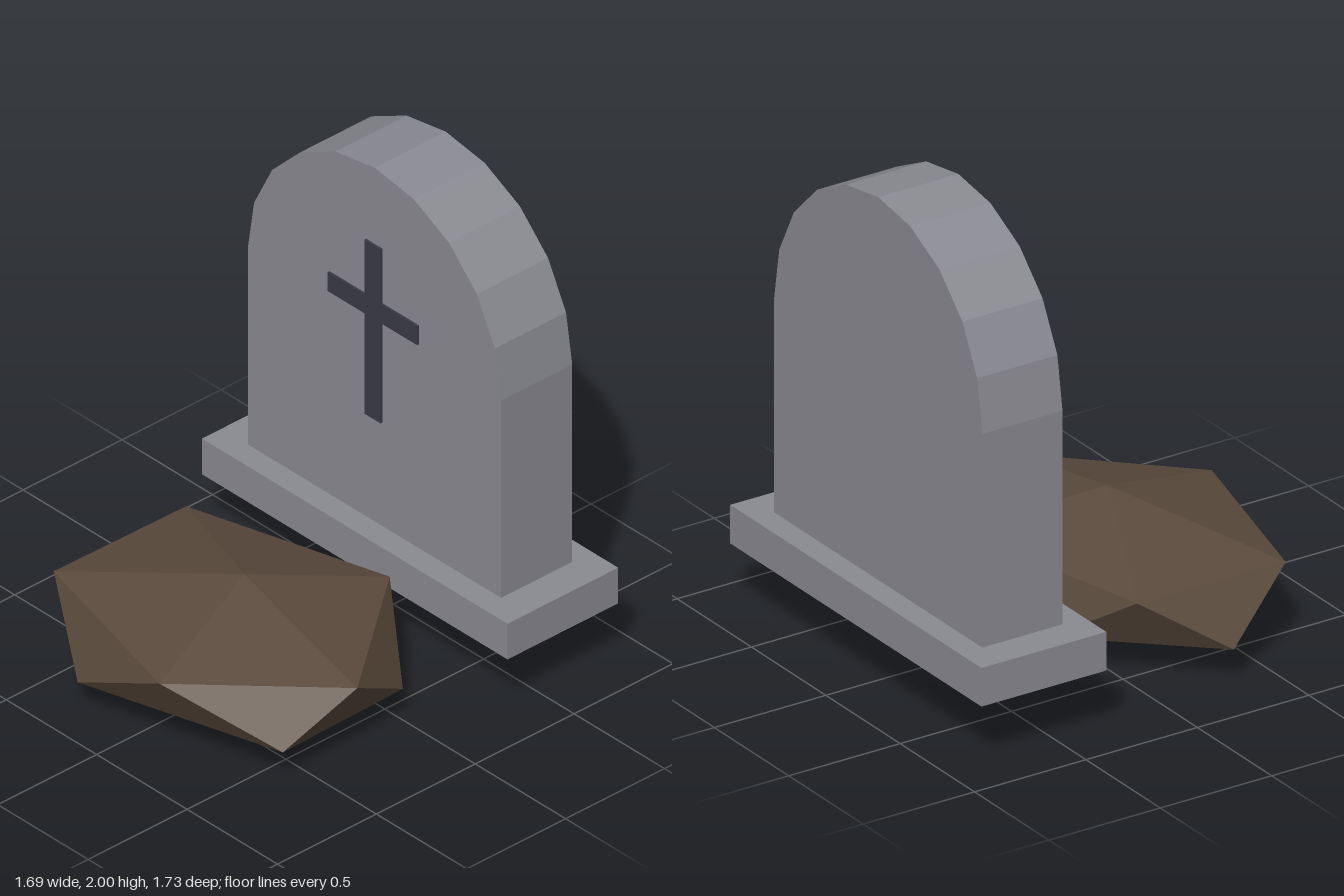
import * as THREE from 'three';

const mat = (name, color) => {
  const m = new THREE.MeshStandardMaterial({ color });
  m.name = name;
  return m;
};

function add(group, name, geometry, material, x = 0, y = 0, z = 0) {
  const mesh = new THREE.Mesh(geometry, material);
  mesh.name = name;
  mesh.position.set(x, y, z);
  group.add(mesh);
}

// Flat-shaded lump: top point, two staggered rings, bottom point
function moundGeometry(top, upper, lower, bottom) {
  const pos = [];
  const tri = (a, b, c) => pos.push(...a, ...b, ...c);
  const n = upper.length;
  for (let i = 0; i < n; i++) {
    const j = (i + 1) % n;
    tri(top, upper[j], upper[i]);
    tri(upper[i], upper[j], lower[i]);
    tri(lower[i], upper[j], lower[j]);
    tri(bottom, lower[i], lower[j]);
  }
  const g = new THREE.BufferGeometry();
  g.setAttribute('position', new THREE.Float32BufferAttribute(pos, 3));
  g.computeVertexNormals();
  return g;
}

export function createModel() {
  const model = new THREE.Group();
  model.name = 'gravestone';
  const stone = mat('grey stone', 0x8a8a92);
  const dark = mat('dark inlay', 0x3a3a46);
  const earth = mat('brown earth', 0x5a4a3c);

  // Plinth
  add(model, 'plinth', new THREE.BoxGeometry(1.69, 0.16, 0.56), stone, 0, 0.335, -0.585);

  // Round-topped slab, ten facets across the arch
  const R = 0.7, springY = 1.3;
  const outline = [new THREE.Vector2(-R, 0.41), new THREE.Vector2(R, 0.41)];
  for (let i = 0; i <= 10; i++) {
    const a = (i / 10) * Math.PI;
    outline.push(new THREE.Vector2(R * Math.cos(a), springY + R * Math.sin(a)));
  }
  const slab = new THREE.ExtrudeGeometry(new THREE.Shape(outline), { depth: 0.36, bevelEnabled: false });
  add(model, 'slab', slab, stone, 0, 0, -0.765);

  // Cross on the front face
  const w = 0.045, arm = 0.247, y0 = 0.88, y1 = 1.33, y2 = 1.415, y3 = 1.66;
  const half = [[w, y0], [w, y1], [arm, y1], [arm, y2], [w, y2], [w, y3]];
  const mirrored = half.map(([x, y]) => [-x, y]).reverse();
  const crossShape = new THREE.Shape([...half, ...mirrored].map(([x, y]) => new THREE.Vector2(x, y)));
  const cross = new THREE.ExtrudeGeometry(crossShape, { depth: 0.0095, bevelEnabled: false });
  add(model, 'cross', cross, dark, 0, 0, -0.404);

  // Earth mound in front of the slab
  const mound = moundGeometry(
    [0.04, 0.51, 0.29],
    [[0.72, 0.355, 0.34], [0.2, 0.355, 0.865], [-0.62, 0.36, 0.65], [-0.61, 0.36, -0.01], [0.27, 0.375, -0.235]],
    [[0.625, 0.15, 0.63], [-0.255, 0.137, 0.863], [-0.765, 0.143, 0.32], [-0.275, 0.132, -0.18], [0.6, 0.14, 0]],
    [0, 0, 0.33]
  );
  add(model, 'earthMound', mound, earth);

  return model;
}
